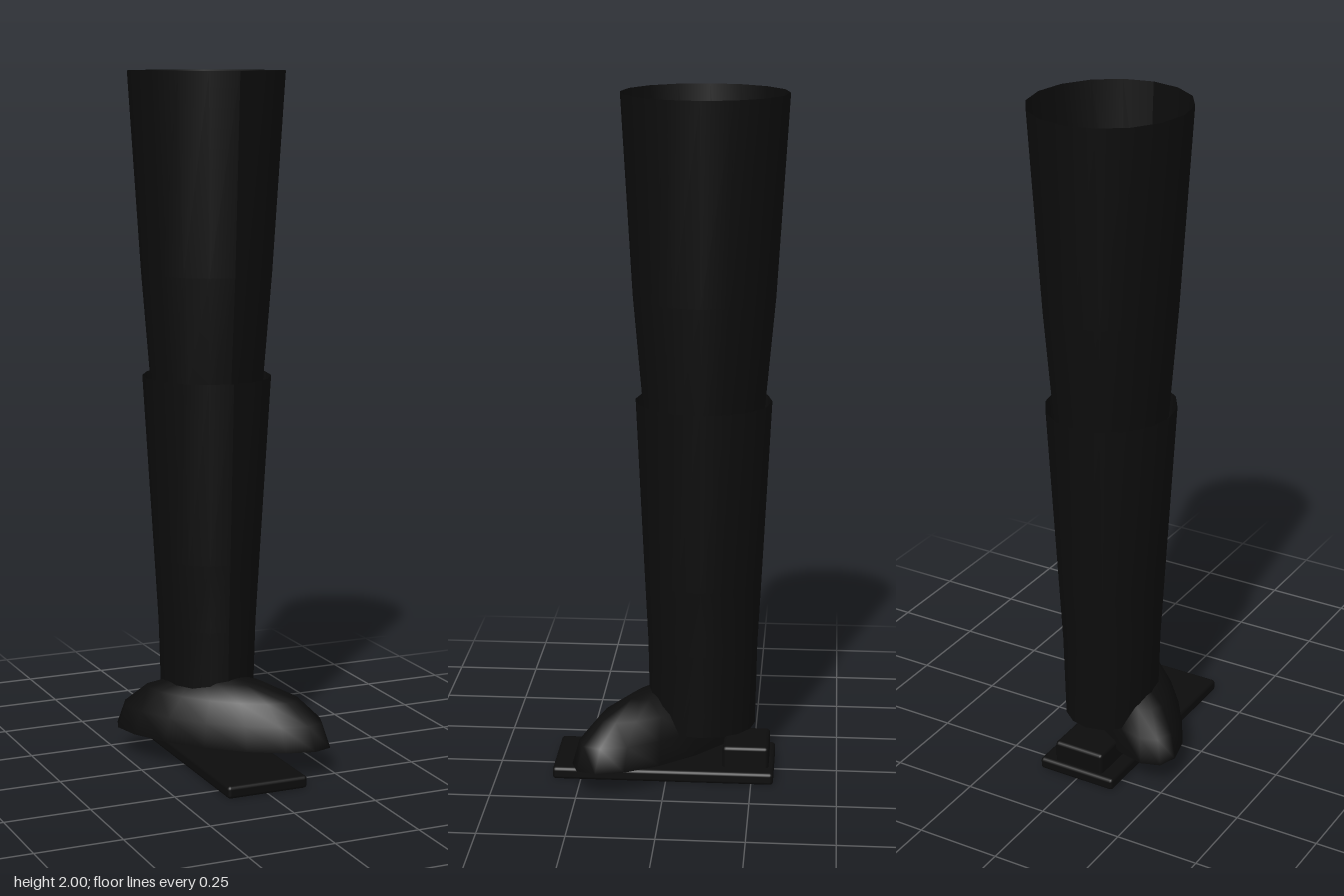
import * as THREE from 'three';
import { RoundedBoxGeometry } from 'three/addons/geometries/RoundedBoxGeometry.js';

const LEG_Z = -0.101;

// Open oval tube through rings [y, radiusX, radiusZ], listed from the top down
function ovalTube(rings) {
  const geo = new THREE.CylinderGeometry(1, 1, 1, 16, rings.length - 1, true);
  const pos = geo.attributes.position;
  for (let i = 0; i < pos.count; i++) {
    const [y, rx, rz] = rings[Math.floor(i / 17)];
    pos.setXYZ(i, pos.getX(i) * rx, y, pos.getZ(i) * rz + LEG_Z);
  }
  geo.computeVertexNormals();
  return geo;
}

export function createModel() {
  const group = new THREE.Group();
  const black = new THREE.MeshStandardMaterial({ color: 0x0c0c0c, side: THREE.DoubleSide });
  black.name = 'black';

  const add = (name, geo) => {
    const mesh = new THREE.Mesh(geo, black);
    mesh.name = name;
    group.add(mesh);
    return mesh;
  };

  // Leg: upper sleeve tucked into the wider lower sleeve
  add('upperLeg', ovalTube([
    [2, 0.223, 0.235], [1.43, 0.186, 0.202], [1.1, 0.16, 0.173],
  ]));
  add('lowerLeg', ovalTube([
    [1.13, 0.185, 0.195], [0.6, 0.152, 0.17], [0.4, 0.14, 0.16], [0.15, 0.132, 0.155],
  ]));
  const cap = add('lowerLegEnd', new THREE.CircleGeometry(1, 16).rotateX(-Math.PI / 2));
  cap.scale.set(0.132, 1, 0.155);
  cap.position.set(0, 0.15, LEG_Z);

  // Toe: half dome stretched along a slanted axis
  const dome = new THREE.SphereGeometry(1, 16, 4, 0, Math.PI * 2, 0, Math.PI / 2);
  dome.applyMatrix4(new THREE.Matrix4().set(
    0.255, 0, 0, 0,
    0, 0.183, 0, 0.08,
    0.184, 0, 0.179, 0.009,
    0, 0, 0, 1,
  ));
  add('toeDome', dome);

  // Sole and heel
  add('sole', new RoundedBoxGeometry(0.245, 0.036, 0.648, 2, 0.01)).position.set(0, 0.02, 0.009);
  add('heel', new RoundedBoxGeometry(0.158, 0.075, 0.135, 2, 0.01)).position.set(0, 0.0625, -0.2325);

  return group;
}
